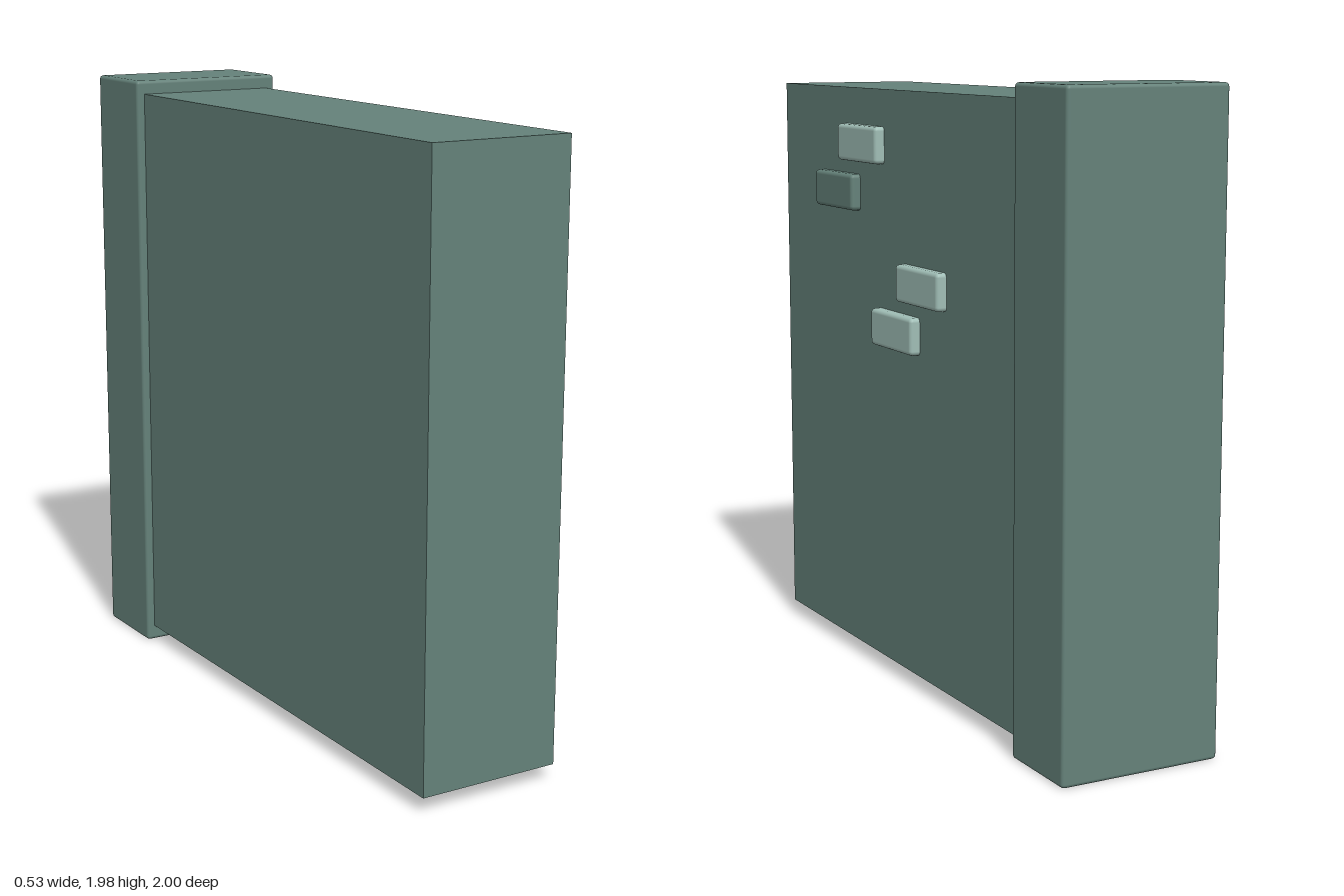
import * as THREE from 'three';
import { RoundedBoxGeometry } from 'three/addons/geometries/RoundedBoxGeometry.js';

export function createModel() {
  const model = new THREE.Group();
  model.name = 'wallSlab';

  const slate = new THREE.MeshStandardMaterial({ name: 'slate green', color: 0x65827a });
  const pale = new THREE.MeshStandardMaterial({ name: 'pale green', color: 0xa0beb6 });

  const add = (name, geometry, material, x, y, z) => {
    const mesh = new THREE.Mesh(geometry, material);
    mesh.name = name;
    mesh.position.set(x, y, z);
    model.add(mesh);
  };

  // Main slab with sharp edges
  add('slab', new THREE.BoxGeometry(0.47, 1.885, 1.72), slate, -0.005, 1.0, 0.14);

  // Upright end post with softened edges
  add('endPost', new RoundedBoxGeometry(0.53, 1.98, 0.295, 2, 0.012), slate, -0.002, 0.997, -0.8525);

  // Raised bricks on the left face: [y, z, material]
  const brick = new RoundedBoxGeometry(0.065, 0.12, 0.296, 2, 0.014);
  [
    [1.763, 0.353, pale],
    [1.6, 0.538, slate],
    [1.337, -0.08, pale],
    [1.175, 0.104, pale],
  ].forEach(([y, z, material], i) => add(`brick${i + 1}`, brick, material, 0.231, y, z));

  return model;
}
